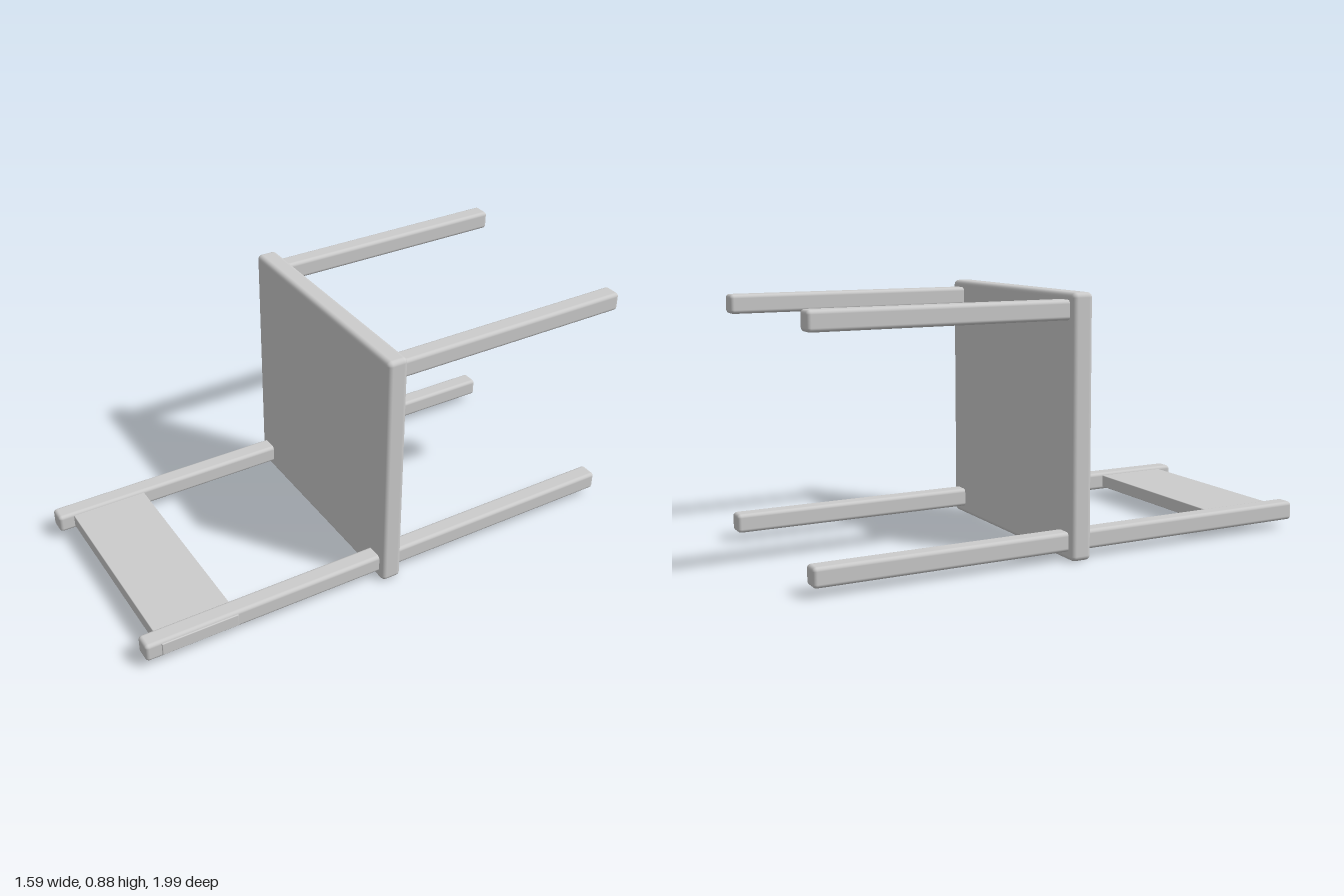
import * as THREE from 'three';
import { RoundedBoxGeometry } from 'three/addons/geometries/RoundedBoxGeometry.js';

export function createModel() {
  const model = new THREE.Group();
  model.name = 'fallenChair';
  const material = new THREE.MeshStandardMaterial({ color: 0xcccccc });

  const add = (name, size, position, radius) => {
    const mesh = new THREE.Mesh(new RoundedBoxGeometry(...size, 3, radius), material);
    mesh.name = name;
    mesh.position.set(...position);
    model.add(mesh);
  };

  const post = 0.066;    // square section of legs and back posts
  const reach = 0.914;   // half of the chair's full height, lying along z
  const backY = 0.063;   // the back posts lie near the ground
  const frontY = 0.827;  // the front legs are up in the air

  // Square seat standing on its rear edge
  add('seat', [0.876, 0.884, 0.074], [0, 0.442, 0.004], 0.017);

  for (const [side, x] of [['right', -0.38], ['left', 0.38]]) {
    // Back leg and backrest post in one long piece
    add(side + 'BackPost', [post, post, 2 * reach], [x, backY, 0], 0.013);
    // Front leg ends inside the seat
    add(side + 'FrontLeg', [post, post, reach], [x, frontY, -reach / 2], 0.013);
  }

  // Backrest panel let into both posts, just proud of the left one
  add('backrestPanel', [0.816, 0.046, 0.274], [0.009, backY, 0.722], 0.003);

  // The chair lies on its back, turned about the vertical
  model.rotation.y = -0.501;
  const root = new THREE.Group();
  root.name = 'chair';
  root.add(model);
  return root;
}
